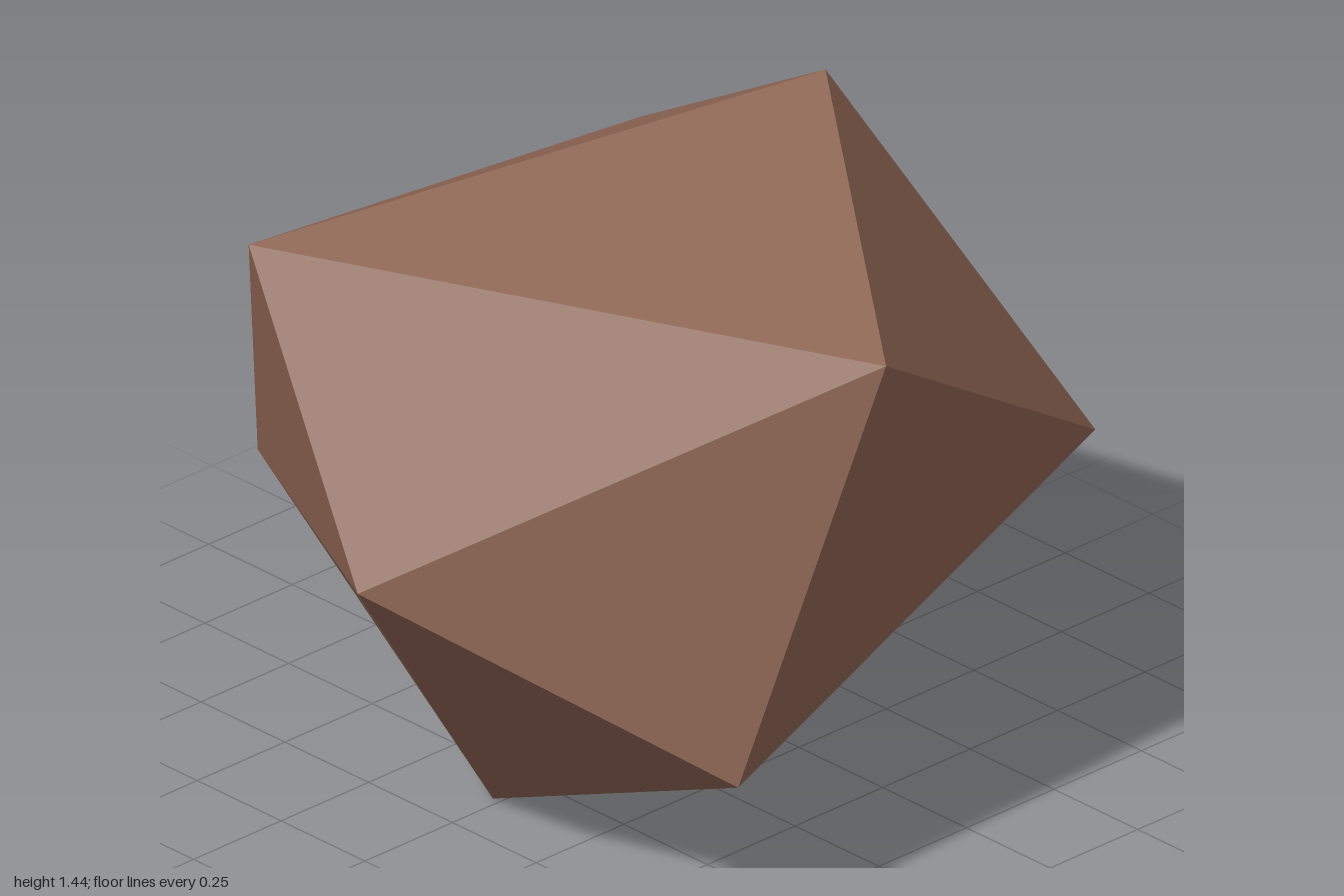
import * as THREE from 'three';
import { ConvexGeometry } from 'three/addons/geometries/ConvexGeometry.js';

// A faceted rock is the convex hull of its corner points.
function rock(name, corners, material) {
  const points = corners.map(([x, y, z]) => new THREE.Vector3(x, y, z));
  const mesh = new THREE.Mesh(new ConvexGeometry(points), material);
  mesh.name = name;
  return mesh;
}

export function createModel() {
  const group = new THREE.Group();
  group.name = 'rocks';

  const brownStone = new THREE.MeshStandardMaterial({ color: 0x8c6452 });
  brownStone.name = 'brownStone';

  // Large boulder: upper corners, middle ring, then underside
  group.add(rock('boulder', [
    [0.47, 1.44, 0.10], [-0.68, 1.25, -0.42], [0.04, 1.14, 0.73],
    [-1.0, 0.80, 0.24], [-0.44, 0.355, 0.79], [0.81, 0.65, 0.55],
    [0.70, 0.95, -0.695], [-0.30, 0.50, -0.79],
    [-0.365, 0, -0.02], [0.53, 0.24, -0.07],
  ], brownStone));

  // Small stone beside it
  group.add(rock('smallStone', [
    [0.97, 0.38, -0.24], [0.60, 0.345, -0.365], [0.775, 0.27, 0.085],
    [1.0, 0.21, -0.525], [0.52, 0.145, -0.21],
    [0.99, 0.075, -0.11], [0.70, 0, -0.36],
  ], brownStone));

  return group;
}
